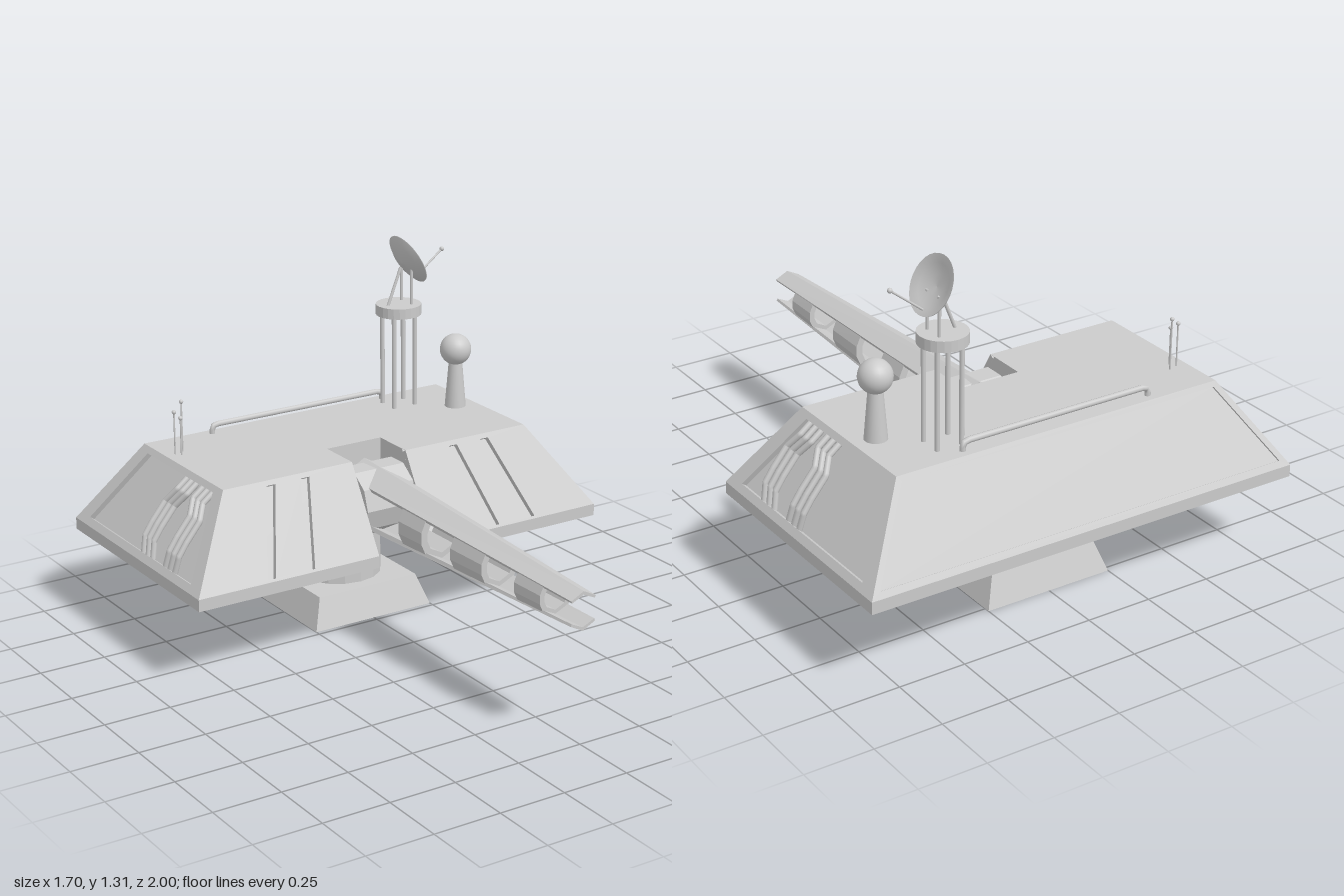
import * as THREE from 'three';

const material = new THREE.MeshStandardMaterial({ color: 0xcccccc, side: THREE.DoubleSide });
const flat = new THREE.MeshStandardMaterial({ color: 0xcccccc, flatShading: true, side: THREE.DoubleSide });
const V = (x, y, z) => new THREE.Vector3(x, y, z);

function add(parent, name, geometry, mat = material, x = 0, y = 0, z = 0) {
  const mesh = new THREE.Mesh(geometry, mat);
  mesh.name = name;
  mesh.position.set(x, y, z);
  parent.add(mesh);
  return mesh;
}

// Straight round bar between two points
function rod(parent, name, a, b, radius) {
  const dir = b.clone().sub(a);
  const mesh = add(parent, name, new THREE.CylinderGeometry(radius, radius, dir.length(), 10));
  mesh.position.copy(a).add(b).multiplyScalar(0.5);
  mesh.quaternion.setFromUnitVectors(V(0, 1, 0), dir.normalize());
}

// Pipe through points with tight corners
function pipe(parent, name, points, radius) {
  const path = new THREE.CurvePath();
  for (let i = 1; i < points.length; i++) path.add(new THREE.LineCurve3(points[i - 1], points[i]));
  add(parent, name, new THREE.TubeGeometry(path, 40, radius, 8));
}

const poly = (pts) => pts.map(([x, y]) => new THREE.Vector2(x, y));

function plate(parent, name, outline, holes, depth, back) {
  const shape = new THREE.Shape(poly(outline));
  holes.forEach((h) => shape.holes.push(new THREE.Path(poly(h))));
  const geometry = new THREE.ExtrudeGeometry(shape, { depth, bevelEnabled: false });
  add(parent, name, geometry, flat, 0, 0, back);
}

// Notched hull core from stacked outlines: [y, half width, front z, back z]
function hullCore() {
  const levels = [
    [0.30, 0.85, -0.05, -1], [0.345, 0.85, -0.05, -1], [0.345, 0.826, -0.073, -0.977],
    [0.649, 0.621, -0.253, -0.797], [0.649, 0.645, -0.23, -0.82], [0.65, 0.645, -0.23, -0.82],
  ];
  const n = 0.115, notchBack = -0.4;
  const loops = levels.map(([y, w, f, b]) => [
    [-w, y, f], [-n, y, f], [-n, y, notchBack], [n, y, notchBack], [n, y, f], [w, y, f], [w, y, b], [-w, y, b],
  ]);
  const pos = [];
  const tri = (a, b, c) => pos.push(...a, ...b, ...c);
  for (let k = 1; k < loops.length; k++) {
    const lo = loops[k - 1], hi = loops[k];
    for (let i = 0; i < 8; i++) {
      const j = (i + 1) % 8;
      tri(lo[i], lo[j], hi[j]);
      tri(lo[i], hi[j], hi[i]);
    }
  }
  const top = loops[loops.length - 1], bottom = loops[0];
  for (const [a, b, c] of [[0, 1, 2], [0, 2, 7], [2, 3, 6], [2, 6, 7], [3, 4, 5], [3, 5, 6]]) {
    tri(top[a], top[b], top[c]);
    tri(bottom[a], bottom[c], bottom[b]);
  }
  const geometry = new THREE.BufferGeometry();
  geometry.setAttribute('position', new THREE.Float32BufferAttribute(pos, 3));
  geometry.computeVertexNormals();
  return geometry;
}

// Extruded section scaled along its length so that it tapers to the muzzle
function tapered(points, hole, z0, z1) {
  const shape = new THREE.Shape(poly(points));
  if (hole) shape.holes.push(new THREE.Path(poly(hole)));
  const geometry = new THREE.ExtrudeGeometry(shape, { depth: z1 - z0, bevelEnabled: false });
  const p = geometry.attributes.position;
  for (let i = 0; i < p.count; i++) {
    const z = p.getZ(i) + z0, t = 1 - z;
    p.setXYZ(i, p.getX(i) * (0.05 + 0.0275 * t), p.getY(i) * (0.07 + 0.048 * t), z);
  }
  geometry.computeVertexNormals();
  return geometry;
}

// Group lying in a sloped hull face: x along the face, y up the slope, z outward
function slopedFace(parent, name, x, z, yaw, run) {
  const face = new THREE.Group();
  face.name = name;
  face.position.set(x, 0.345, z);
  face.rotation.set(-Math.atan2(run, 0.305), yaw, 0, 'YXZ');
  parent.add(face);
  return face;
}

export function createModel() {
  const model = new THREE.Group();
  const D = 0.02;

  // Pedestal, open underneath
  const foot = new THREE.CylinderGeometry(0.21 * Math.SQRT2, 0.25 * Math.SQRT2, 0.115, 4, 1, true);
  foot.rotateY(Math.PI / 4);
  add(model, 'foot', foot, flat, 0, 0.0575, -0.52);
  add(model, 'footTop', new THREE.BoxGeometry(0.42, 0.008, 0.42), flat, 0, 0.111, -0.52);
  add(model, 'column', new THREE.CylinderGeometry(0.162, 0.162, 0.21, 16), flat, 0, 0.2, -0.52);

  // Hull
  add(model, 'hull', hullCore(), flat);

  // Front armour with slanted slots
  const slope = Math.hypot(0.18, 0.305);
  const front = slopedFace(model, 'frontArmour', 0, -0.05, 0, 0.18);
  for (const s of [-1, 1]) {
    const m = (pts) => pts.map(([x, y]) => [s * x, y]);
    const slots = [[0.30, 0.39], [0.44, 0.55]].map(([t, b]) =>
      m([[t, 0.335], [t + 0.035, 0.335], [b + 0.025, 0.01], [b - 0.01, 0.01]]));
    plate(front, 'frontPlate', m([[0.115, 0], [0.85, 0], [0.645, slope], [0.115, slope]]), slots, D, -D);
  }

  // Rear armour with a framed panel
  const rear = slopedFace(model, 'rearArmour', 0, -1, Math.PI, 0.18);
  const rearPanel = [[-0.81, 0.025], [0.81, 0.025], [0.63, slope - 0.02], [-0.63, slope - 0.02]];
  plate(rear, 'rearFrame', [[-0.85, 0], [0.85, 0], [0.645, slope], [-0.645, slope]], [rearPanel], D, -D);
  plate(rear, 'rearPanel', rearPanel, [], 0.013, -D);

  // Side armour: recessed panels carrying bundles of pipes
  const sideSlope = Math.hypot(0.205, 0.305);
  for (const s of [-1, 1]) {
    const side = slopedFace(model, s > 0 ? 'leftArmour' : 'rightArmour', s * 0.85, -0.525, s * Math.PI / 2, 0.205);
    plate(side, 'sideFrame',
      [[-0.475, 0], [0.475, 0], [0.295, sideSlope], [-0.295, sideSlope]],
      [[[-0.39, 0.03], [0.39, 0.03], [0.245, sideSlope - 0.025], [-0.245, sideSlope - 0.025]]], D, -D);
    for (const [z, kink] of [[-0.295, 0.035], [-0.41, -0.035]]) {
      for (let i = 0; i < 3; i++) {
        const u = (k) => -s * (z - i * 0.035 + k + 0.525);
        pipe(side, 'sidePipe', [
          V(u(0), 0.34, -0.012), V(u(0), 0.29, 0.004), V(u(kink), 0.23, 0.004), V(u(kink), 0.14, 0.012),
          V(u(kink), 0.09, 0.012), V(u(kink * 0.7), 0.03, -0.012),
        ], 0.011);
      }
    }
  }

  // Gun mount inside the notch
  const mount = new THREE.CylinderGeometry(0.13, 0.13, 0.21, 10);
  mount.rotateZ(Math.PI / 2);
  add(model, 'gunMount', mount, flat, 0, 0.48, -0.27);

  // Gun: ridged upper and lower rails joined by hollow collars
  const gun = new THREE.Group();
  gun.name = 'gun';
  gun.position.y = 0.48;
  model.add(gun);
  for (const s of [-1, 1]) {
    const rail = [[0, 1], [1, 0.64], [0.92, 0.52], [0, 0.82], [-0.92, 0.52], [-1, 0.64]];
    add(gun, s > 0 ? 'upperRail' : 'lowerRail', tapered(rail.map(([x, y]) => [x, s * y]), null, -0.33, 1), flat);
  }
  const ring = [[0, 0.9], [0.95, 0.58], [1.2, 0.2], [1.2, -0.2], [0.95, -0.58],
    [0, -0.9], [-0.95, -0.58], [-1.2, -0.2], [-1.2, 0.2], [-0.95, 0.58]];
  for (const [a, b] of [[0.04, 0.18], [0.35, 0.53], [0.71, 0.85]]) {
    add(gun, 'collar', tapered(ring, ring.map(([x, y]) => [x * 0.7, y * 0.7]), a, b), flat);
  }

  // Roof handrail
  pipe(model, 'roofRail', [
    V(-0.38, 0.64, -0.785), V(-0.38, 0.675, -0.785), V(-0.367, 0.683, -0.785),
    V(0.355, 0.683, -0.785), V(0.37, 0.675, -0.785), V(0.37, 0.64, -0.785),
  ], 0.011);

  // Dish tower
  const tower = new THREE.Group();
  tower.name = 'dishTower';
  tower.position.set(0.392, 0, -0.7);
  model.add(tower);
  for (const x of [-0.047, 0.047]) for (const z of [-0.041, 0.041]) {
    rod(tower, 'towerLeg', V(x, 0.64, z), V(x, 1.02, z), 0.009);
  }
  add(tower, 'platform', new THREE.CylinderGeometry(0.087, 0.087, 0.04, 24), flat, 0, 1.03, 0);
  rod(tower, 'dishStrut', V(-0.05, 1.04, 0), V(0.01, 1.19, 0), 0.006);
  for (const z of [-0.035, 0.035]) rod(tower, 'dishPost', V(0.036, 1.04, z), V(0.036, 1.19, z), 0.006);
  const bowl = [[0, -0.03], [0.04, -0.025], [0.075, -0.014], [0.104, 0], [0.104, 0.004], [0.075, -0.007], [0.04, -0.018], [0, -0.022]];
  const dish = add(tower, 'dish', new THREE.LatheGeometry(poly(bowl), 28), material, 0.042, 1.217, 0);
  dish.rotation.z = -Math.atan2(0.89, 0.457);
  rod(tower, 'feedArm', V(0.075, 1.14, 0), V(0.198, 1.235, 0), 0.004);
  add(tower, 'feedTip', new THREE.SphereGeometry(0.009, 12, 8), material, 0.198, 1.235, 0);

  // Ball mast
  add(model, 'mast', new THREE.CylinderGeometry(0.026, 0.041, 0.18, 20), material, 0.56, 0.735, -0.56);
  add(model, 'mastBall', new THREE.SphereGeometry(0.06, 24, 16), material, 0.56, 0.876, -0.56);

  // Whip aerials
  for (const [x, z, y] of [[-0.605, -0.655, 0.81], [-0.59, -0.635, 0.79], [-0.568, -0.667, 0.84]]) {
    rod(model, 'aerial', V(x, 0.64, z), V(x, y, z), 0.003);
    add(model, 'aerialTip', new THREE.SphereGeometry(0.008, 10, 8), material, x, y, z);
  }
  return model;
}
